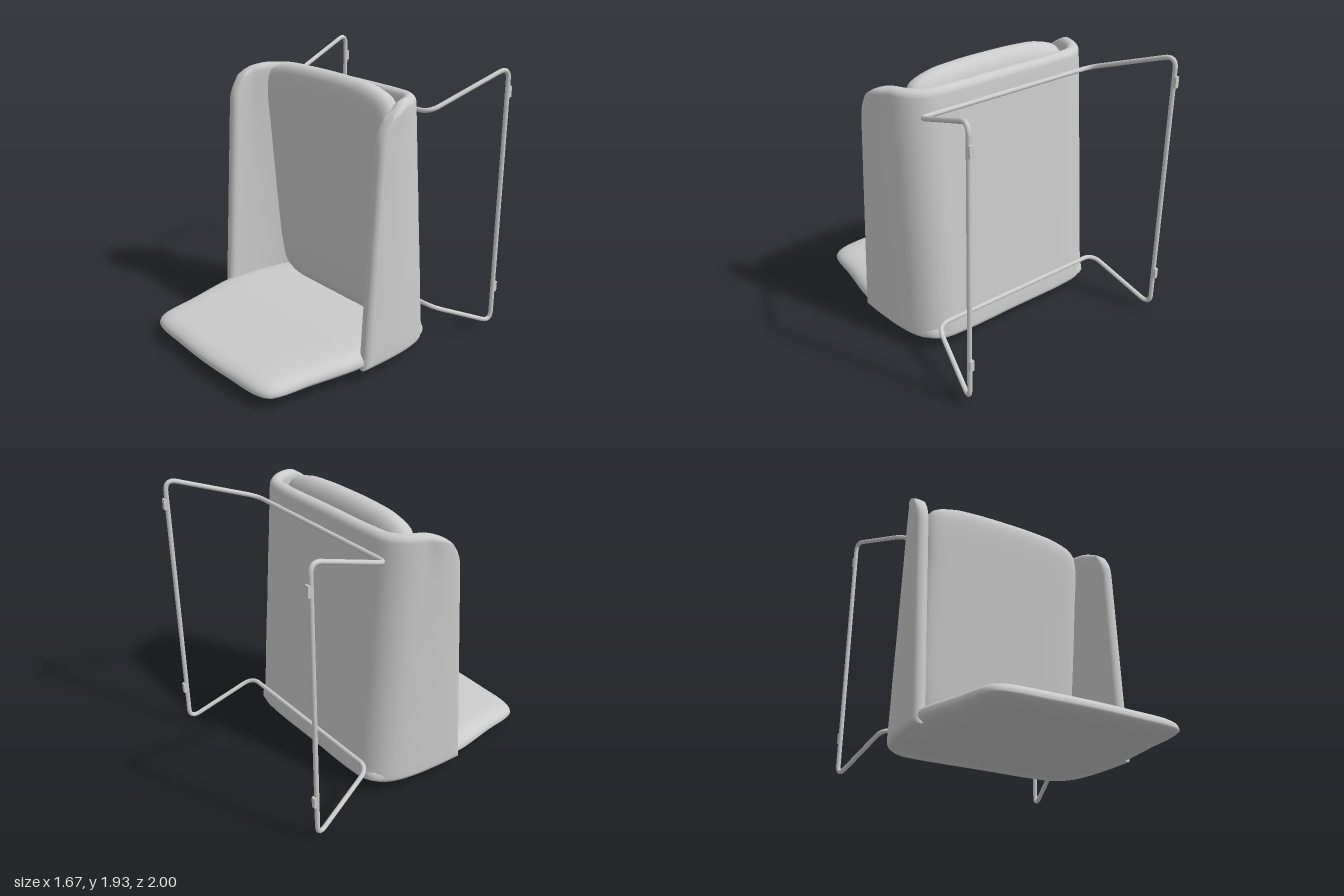
import * as THREE from 'three';

const material = new THREE.MeshStandardMaterial({ color: 0xcccccc });
const { lerp } = THREE.MathUtils;

function addMesh(group, name, geometry) {
  const mesh = new THREE.Mesh(geometry, material);
  mesh.name = name;
  group.add(mesh);
  return mesh;
}

// Smooth skin over rows of points; every row is a closed loop
function skin(rows) {
  const n = rows[0].length, index = [];
  for (let i = 0; i < rows.length - 1; i++) {
    for (let j = 0; j < n; j++) {
      const a = i * n + j, b = i * n + (j + 1) % n;
      index.push(a, a + n, b + n, a, b + n, b);
    }
  }
  const g = new THREE.BufferGeometry();
  g.setAttribute('position', new THREE.Float32BufferAttribute(rows.flat(2), 3));
  g.setIndex(index);
  g.computeVertexNormals();
  return g;
}

// Piecewise linear lookup in [x, y] pairs with rising x
function lookup(table, x) {
  let i = 0;
  while (i < table.length - 2 && x > table[i + 1][0]) i++;
  const [x0, y0] = table[i], [x1, y1] = table[i + 1];
  return lerp(y0, y1, (x - x0) / (x1 - x0));
}

// Upholstered pad: a mirrored outline shrunk in rings towards its centre, over the top and under
function puff(half, centre, place) {
  const mirrored = half.slice(1, -1).reverse().map(([x, v]) => [-x, v]);
  const curve = new THREE.CatmullRomCurve3(
    [...half, ...mirrored].map(([x, v]) => new THREE.Vector3(x, v, 0)), true);
  const outline = curve.getSpacedPoints(120).slice(0, 120);
  const rings = [0, 0.2, 0.4, 0.6, 0.72, 0.8, 0.86, 0.9, 0.93, 0.955, 0.975, 0.988, 0.996, 1];
  const row = (r, side) => outline.map(p => place(p.x * r, centre + (p.y - centre) * r, r, side));
  return skin([
    ...rings.map(r => row(r, 1)),
    ...rings.slice(0, -1).reverse().map(r => row(r, -1)),
  ]);
}

// Lower pad with a flat upper face and a crowned underside
function basePad() {
  const half = [[0, 0.995], [0.3, 0.985], [0.58, 0.965], [0.66, 0.925], [0.69, 0.85], [0.72, 0.65],
    [0.785, 0.3], [0.79, 0.1], [0.77, -0.15], [0.73, -0.32], [0.66, -0.42], [0.5, -0.44], [0, -0.445]];
  const top = [[-0.45, 0.23], [0.26, 0.215], [0.9, 0.17], [1, 0.16]];
  const edge = [[-0.45, 0.12], [0.26, 0.13], [1, 0.09]];
  const bottom = [[-0.45, 0.065], [-0.3, 0.05], [0.2, 0.01], [0.6, 0], [1, 0]];
  return puff(half, 0.27, (x, z, r, side) => {
    const e = lookup(edge, z);
    const y = side > 0
      ? lerp(e, lookup(top, z), Math.sqrt(1 - r ** 14))
      : lerp(e, lookup(bottom, z), (1 - r ** 4) ** 0.6);
    return [x, y, z];
  });
}

// Loose cushion leaning with the back of the shell
function cushion() {
  const half = [[0, 0.2], [0.2, 0.2], [0.48, 0.215], [0.58, 0.27], [0.615, 0.4], [0.63, 0.6],
    [0.642, 1.4], [0.642, 1.68], [0.6, 1.81], [0.45, 1.87], [0.25, 1.89], [0, 1.895]];
  return puff(half, 1.05, (x, y, r, side) =>
    [x, y, -0.1 - (1.8 - y) * 0.085 + side * 0.095 * Math.sqrt(1 - r ** 14)]);
}

// Wrap-around shell: a U-shaped wall with rounded rims
function shell() {
  const H = 0.045, length = 2.7, yLow = 0.08, yHigh = 1.837;
  const edge = [0, 0.03, 0.12, 0.3, 0.6, 1];
  const samples = (len, n) => {
    const e = edge.map(v => v * H / len), m = e[5], list = [...e];
    for (let i = 1; i < n; i++) list.push(lerp(m, 1 - m, i / n));
    return [...list, ...e.reverse().map(v => 1 - v)];
  };
  const levels = samples(yHigh - yLow, 26), stations = samples(length, 56);
  const rz = 0.28, ry = 0.26; // rounding of the upper front corners

  const curves = levels.map(t => {
    const back = lerp(-0.41, -0.265, t), front = lerp(0.26, 0.155, t);
    const half = [[0.77, front], [0.763, lerp(back, front, 0.7)], [0.735, back + 0.23],
      [0.69, back + 0.1], [0.6, back + 0.02], [0.45, back]];
    const pts = [...half, [0, back], ...half.slice().reverse().map(([x, z]) => [-x, z])];
    return { front, curve: new THREE.CatmullRomCurve3(pts.map(([x, z]) => new THREE.Vector3(x, 0, z))) };
  });

  const point = (s, k, side) => {
    const t = levels[k], { front, curve } = curves[k];
    const p = curve.getPointAt(s), d = curve.getTangentAt(s);
    let y = lerp(yLow, yHigh, t), z = p.z;
    const u = (z - front + rz) / rz, v = (y - yHigh + ry) / ry;
    if (u > 0 && v > 0) {
      z = front - rz + rz * u * Math.sqrt(1 - v * v / 2);
      y = yHigh - ry + ry * v * Math.sqrt(1 - u * u / 2);
    }
    const rim = Math.min(Math.min(s, 1 - s) * length, Math.min(t, 1 - t) * (yHigh - yLow));
    const q = 1 - Math.min(rim / H, 1);
    const h = side * H * Math.sqrt(Math.max(0, 1 - q * q));
    return [p.x - d.z * h, y, z + d.x * h];
  };

  const last = levels.length - 1;
  return skin(stations.map(s => [
    ...levels.map((_, k) => point(s, k, 1)),
    ...levels.slice(1, -1).map((_, k) => point(s, last - 1 - k, -1)),
  ]));
}

// One closed bent tube: two cross bars joined by a leg loop on each side
function frame() {
  const side = [[0.7, 1.705, -0.345], [0.817, 1.935, -0.972], [0.817, 0.05, -0.972], [0.7, 0.275, -0.48]];
  const corners = [...side, ...side.slice().reverse().map(([x, y, z]) => [-x, y, z])]
    .map(c => new THREE.Vector3(...c));
  const n = corners.length, path = new THREE.CurvePath();
  const toward = (a, b) => a.clone().add(b.clone().sub(a).setLength(0.085));
  corners.forEach((c, i) => {
    const prev = corners[(i + n - 1) % n], next = corners[(i + 1) % n];
    path.add(new THREE.QuadraticBezierCurve3(toward(c, prev), c, toward(c, next)));
    path.add(new THREE.LineCurve3(toward(c, next), toward(next, c)));
  });
  return new THREE.TubeGeometry(path, 480, 0.016, 12, true);
}

export function createModel() {
  const group = new THREE.Group();
  addMesh(group, 'shell', shell());
  addMesh(group, 'basePad', basePad());
  addMesh(group, 'cushion', cushion());
  addMesh(group, 'tubeFrame', frame());
  // Glides clipped on the leg loops
  for (const x of [-0.817, 0.817]) {
    for (const y of [0.33, 1.765]) {
      addMesh(group, 'glide', new THREE.BoxGeometry(0.028, 0.075, 0.03)).position.set(x, y, -0.985);
    }
  }
  return group;
}
